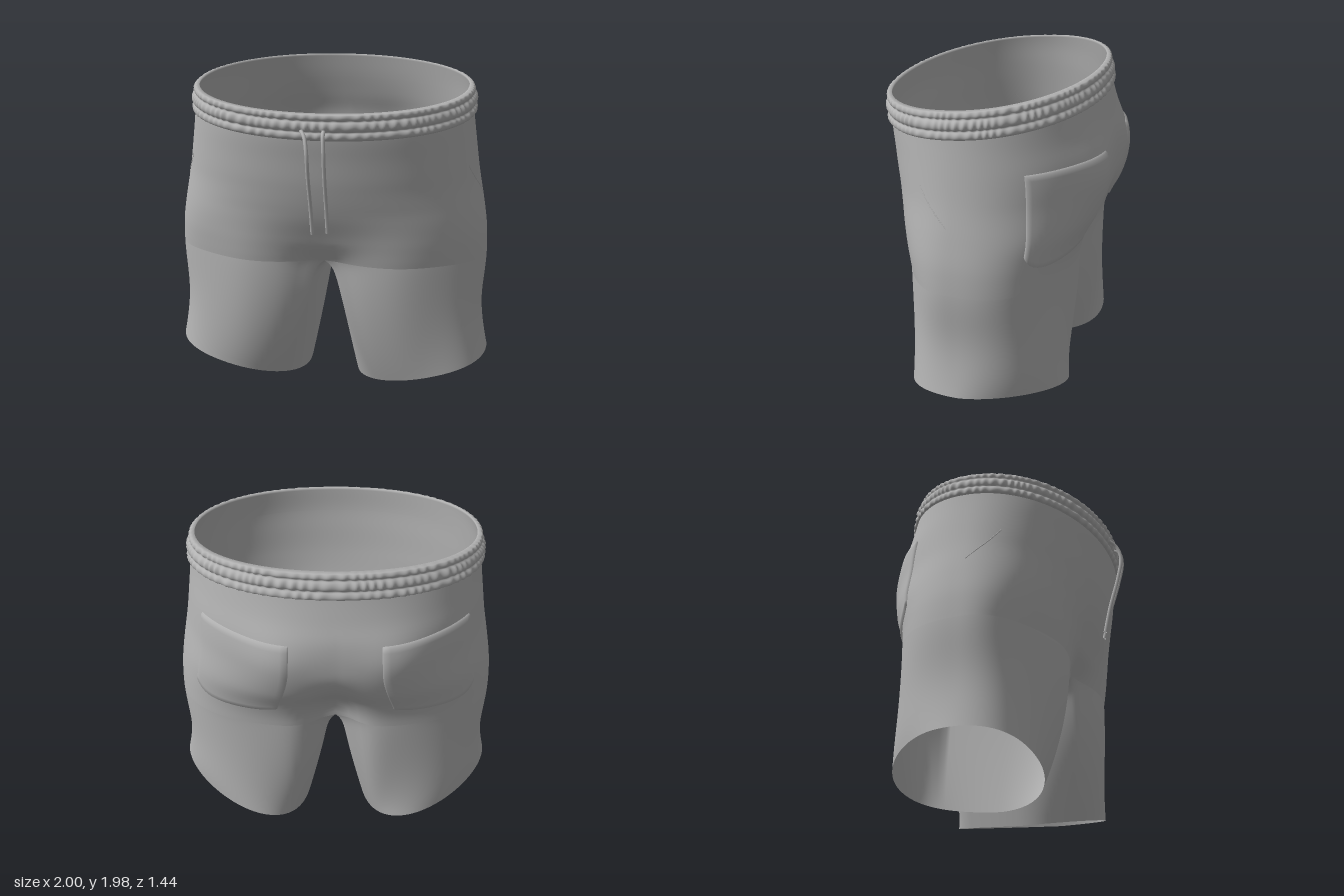
import * as THREE from 'three';
import { mergeGeometries, mergeVertices } from 'three/addons/utils/BufferGeometryUtils.js';

const { lerp, smoothstep } = THREE.MathUtils;
const PI = Math.PI;

// Torso profile by height: half width, front depth, back depth
const HEIGHTS = [0.8, 0.95, 1.05, 1.2, 1.4, 1.57, 1.7, 1.85, 2];
const PROFILE = new THREE.CubicInterpolant(HEIGHTS, [
  0.97, 0.375, 0.565, 0.967, 0.42, 0.577, 0.96, 0.46, 0.605, 0.937, 0.523, 0.67, 0.9, 0.578, 0.70,
  0.875, 0.608, 0.692, 0.857, 0.63, 0.655, 0.838, 0.64, 0.615, 0.805, 0.655, 0.585,
], 3);

// Point on the torso; angle 0 is front centre, PI is back centre
function torso(angle, y, offset = 0) {
  const [a, f, b] = PROFILE.evaluate(y);
  const s = Math.sin(angle), c = Math.cos(angle);
  const power = 2 / lerp(2.6, 2.08, smoothstep(y, 0.85, 1.4));
  const bend = (v) => Math.sign(v) * Math.pow(Math.abs(v), power);
  const x = a * bend(s);
  let z = (c > 0 ? f : b) * bend(c);
  const groove = Math.exp(-((x / 0.15) ** 2));
  if (c > 0) {
    // Thighs swell forward, the crotch seam sinks
    z += 0.055 * (1 - smoothstep(y, 0.85, 1.25)) * Math.exp(-(((Math.abs(x) - 0.45) / 0.28) ** 2)) * Math.min(1, 4 * c);
    z -= 0.06 * (1 - smoothstep(y, 0.82, 1.02)) * groove;
  } else {
    // Seat swells backward on either side of the centre
    z += 0.12 * (1 - smoothstep(y, 0.88, 1.38)) * groove;
    z -= 0.038 * Math.exp(-(((Math.abs(x) - 0.34) / 0.2) ** 2) - ((y - 1.43) / 0.2) ** 2);
  }
  return [x + offset * s, y, z + offset * c];
}

// Grid surface from fn(u, v)
function grid(fn, nu, nv, flip = false) {
  const pos = [], index = [];
  for (let j = 0; j <= nv; j++) for (let i = 0; i <= nu; i++) pos.push(...fn(i / nu, j / nv));
  for (let j = 0; j < nv; j++) for (let i = 0; i < nu; i++) {
    const a = j * (nu + 1) + i, b = a + nu + 1, c = a + 1, d = b + 1;
    index.push(...(flip ? [a, c, b, c, d, b] : [a, b, c, c, b, d]));
  }
  const g = new THREE.BufferGeometry();
  g.setAttribute('position', new THREE.Float32BufferAttribute(pos, 3));
  g.setIndex(index);
  return g;
}
function smooth(parts) {
  const g = mergeVertices(mergeGeometries(parts), 1e-4);
  g.computeVertexNormals();
  return g;
}
const mirrored = (fn, side) => (u, v) => { const p = fn(u, v); return [p[0] * side, p[1], p[2]]; };

const bandTop = (angle) => 1.915 - 0.11 * 0.64 * Math.cos(angle);
const SPLIT = 0.88;
const ARC = PI * 135 / 180;

// Skewed hem ring of one leg; phi 0 is the outer side
function hem(phi) {
  const s = Math.sin(phi), c = Math.cos(phi);
  const x = 0.58 + 0.42 * c + (s < 0 ? -0.12 : 0.03) * s * s;
  const z = -0.105 + 0.455 * s + (c > 0 ? 0.1 : 0.06) * c * c;
  return [x, 0.01 + (x - 0.16) * 0.258 - 0.06 * Math.min(z + 0.05, 0), z];
}
const innerEase = (r) => 0.2 * (1 - Math.exp(-r * 22)) + 0.8 * Math.pow(r, 1.3);

// Waist down to the top of the legs
function upper(t, v) {
  const angle = PI * t;
  return torso(angle, lerp(bandTop(angle) - 0.06, SPLIT, v));
}
// Outer wrap of a leg
function outerLeg(t, v) {
  const r = v * v;
  const p = torso(PI * t, SPLIT), h = hem(lerp(ARC, -ARC, t));
  const side = Math.abs(Math.sin(PI * t));
  const ease = lerp(innerEase(r), lerp(r * r, r ** 5, side ** 4), Math.pow(side, 0.4));
  return [
    lerp(p[0], h[0], ease) - 0.017 * side ** 4 * Math.sin(PI * r) ** 2,
    lerp(SPLIT, h[1], r), lerp(p[2], h[2], r * r),
  ];
}
// Inner leg from the crotch curve to the hem
function innerLeg(q, v) {
  const r = v * v;
  const front = torso(0, SPLIT)[2], back = torso(PI, SPLIT)[2];
  const top = SPLIT - 0.07 * Math.pow(Math.abs(Math.sin(PI * q)), 0.8);
  const h = hem(lerp(ARC, 2 * PI - ARC, q));
  return [h[0] * innerEase(r), lerp(top, h[1], r), lerp(lerp(front, back, q), h[2], r * r)];
}

// Elastic band: three puckered ridges outside, a plain wall inside
function band(u, k) {
  const angle = 2 * PI * u;
  const outside = k < 0.75;
  const h = outside ? k / 0.75 : 1 - (k - 0.75) / 0.25;
  const y = bandTop(angle) - 0.155 * (1 - h);
  if (!outside) return torso(angle, y, -0.01);
  const edges = [0, 0.32, 0.72, 1];
  const n = h < 0.32 ? 0 : h < 0.72 ? 1 : 2;
  const ridge = Math.sin(PI * (h - edges[n]) / (edges[n + 1] - edges[n]));
  const wave = Math.sin([80, 92, 86][n] * angle + 2 * Math.sin(7 * angle + n) + 1.3 * Math.sin(17 * angle));
  const pucker = 0.78 + (0.19 + 0.07 * Math.sin(11 * angle + 2 * n)) * wave;
  return torso(angle, y, 0.002 + [0.022, 0.027, 0.021][n] * Math.sqrt(Math.abs(ridge)) * pucker);
}

// Back patch pocket, slightly raised with a thin rim
const POCKET = 20;
function pocket(u, v) {
  const inset = (w) => (w <= 0 || w >= 1 ? w : 0.012 + 0.976 * (w * POCKET - 1) / (POCKET - 2));
  const a = inset(u), d = inset(v);
  const bottom = 1.01 + 0.1 * a ** 7 + 0.03 * (1 - a) ** 9;
  const edge = u <= 0 || u >= 1 || v <= 0 || v >= 1;
  const angle = PI - lerp(0.28, 1.04 - 0.05 * d, a);
  return torso(angle, lerp(1.572, bottom, d), edge ? -0.003 : 0.013);
}

export function createModel() {
  const group = new THREE.Group();
  const fabric = new THREE.MeshStandardMaterial({ color: 0xb2b2b2, side: THREE.DoubleSide });
  fabric.name = 'grey fabric';
  const add = (name, geometry) => {
    const mesh = new THREE.Mesh(geometry, fabric);
    mesh.name = name;
    group.add(mesh);
  };
  const tube = (points, radius) => new THREE.TubeGeometry(
    new THREE.CatmullRomCurve3(points.map((p) => new THREE.Vector3(...p))), 40, radius, 8);

  // Body and both legs as one smooth cloth
  const cloth = [];
  for (const side of [1, -1]) {
    const flip = side < 0;
    cloth.push(grid(mirrored(upper, side), 80, 36, flip));
    cloth.push(grid(mirrored(outerLeg, side), 80, 36, flip));
    cloth.push(grid(mirrored(innerLeg, side), 32, 36, !flip));
  }
  add('shortsBody', smooth(cloth));
  add('waistband', smooth([grid(band, 640, 40, true)]));

  for (const side of [1, -1]) {
    const label = side > 0 ? 'left' : 'right';
    add(label + 'BackPocket', smooth([grid(mirrored(pocket, side), POCKET, POCKET, side > 0)]));
    // Lower end of the slanted hand pocket seam
    const seam = [[1.22, 1.47], [1.32, 1.39], [1.42, 1.33], [1.53, 1.27]].map(([angle, y]) => {
      const p = torso(angle, y);
      return [p[0] * side, p[1], p[2]];
    });
    add(label + 'HandPocketSeam', tube(seam, 0.003));
  }

  // Drawstrings hanging from the band
  add('rightDrawstring', tube([[-0.075, 1.75, 0.655], [-0.05, 1.72, 0.69], [-0.035, 1.64, 0.715],
    [-0.033, 1.5, 0.69], [-0.03, 1.3, 0.63], [-0.028, 1.13, 0.59]], 0.011));
  add('leftDrawstring', tube([[0.05, 1.75, 0.655], [0.052, 1.73, 0.685], [0.057, 1.65, 0.70],
    [0.056, 1.5, 0.668], [0.055, 1.3, 0.605], [0.055, 1.13, 0.56]], 0.011));
  return group;
}
